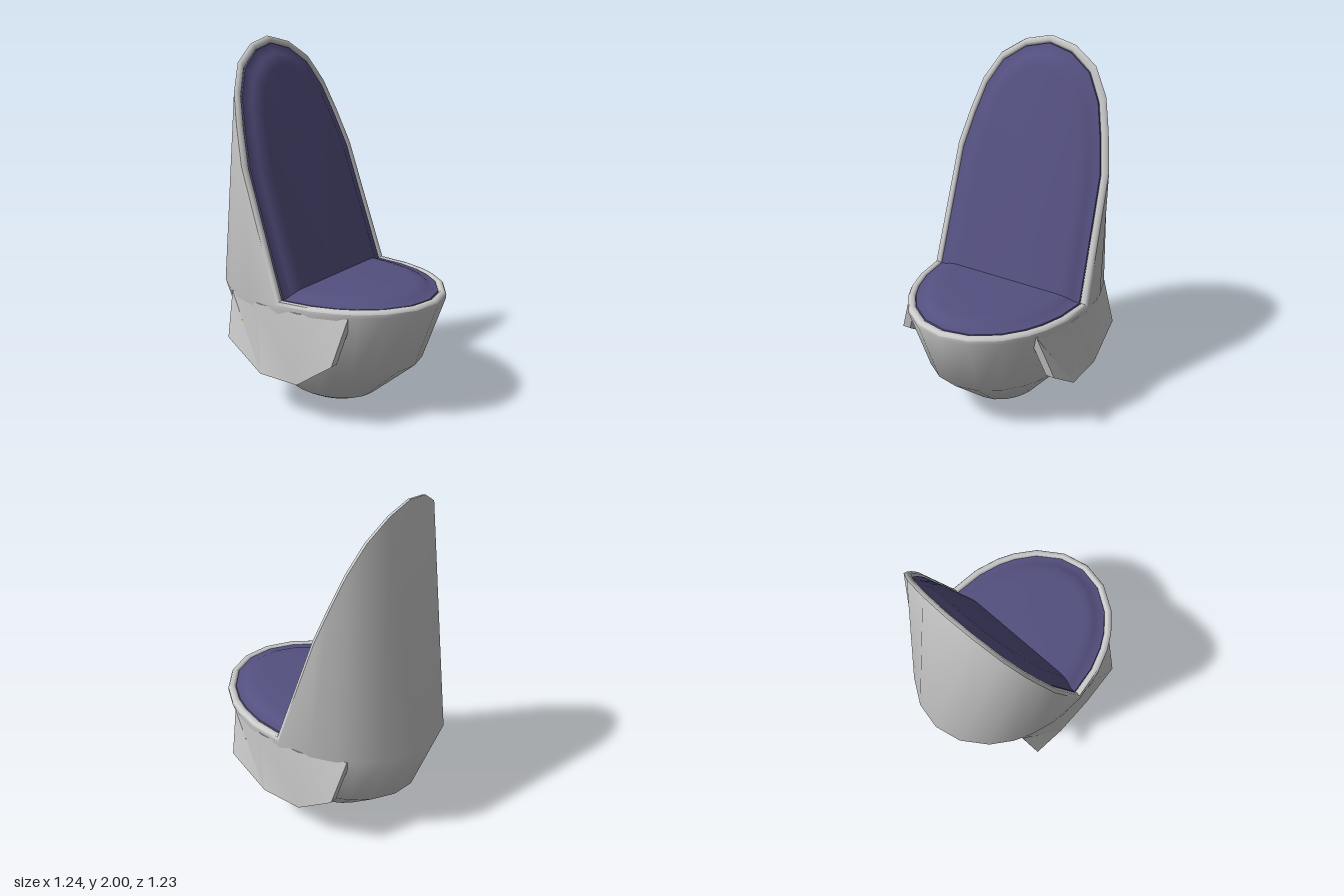
import * as THREE from 'three';
import { toCreasedNormals } from 'three/addons/utils/BufferGeometryUtils.js';

// Half widths of the elliptical plan, length of the leaning back, height of the seat edge
const LEN = 0.675, WID = 0.51, SEAT_Y = 0.655, BACK = 1.415;
const BACK_DIR = [-0.318, 0.948];

// One quarter of the plan: angle from the long axis, and the back edge height above it
const QUARTER = [[0, 2], [18, 1.965], [36, 1.875], [50, 1.73], [60, 1.56], [73, 1.36], [90, SEAT_Y]];
const angles = [];
for (const [a] of QUARTER) angles.push(a);
for (const [a] of QUARTER.slice(0, -1).reverse()) angles.push(180 - a);
for (const a of angles.slice(1, -1).reverse()) angles.push(360 - a);

const heightAt = (deg) => {
  const q = Math.min(Math.abs(deg - 180), 90);
  return QUARTER.find(([a]) => a === q)[1];
};

// Horizontal ring of the bowl
const bowlRing = (scale, y) => angles.map((deg) => {
  const t = THREE.MathUtils.degToRad(deg);
  return new THREE.Vector3(LEN * scale * Math.cos(t), y, WID * scale * Math.sin(t));
});

// Ring on the folded opening: flat over the seat, leaning up the back
const openingRing = (inset, lift) => angles.map((deg) => {
  const t = THREE.MathUtils.degToRad(deg);
  const z = WID * Math.sin(t) * (1 - inset / WID);
  if (deg === 90 || deg === 270) return new THREE.Vector3(0.727 * lift, SEAT_Y + lift, z);
  if (deg < 90 || deg > 270) {
    const p = Math.max(LEN * Math.cos(t) * (1 - inset / LEN), 0.727 * lift);
    return new THREE.Vector3(p, SEAT_Y + lift, z);
  }
  const p = (heightAt(deg) - SEAT_Y) / BACK_DIR[1] * (1 - inset / BACK);
  return new THREE.Vector3(
    BACK_DIR[0] * p + 0.948 * lift, SEAT_Y + BACK_DIR[1] * p + 0.318 * lift, z);
});

// Closes a ring on a single point
const pointRing = (x, y, z) => angles.map(() => new THREE.Vector3(x, y, z));

// Skins a list of closed rings, leaving out collapsed triangles
function loft(rings, crease) {
  const pos = [];
  const n = rings[0].length;
  const tri = (a, b, c) => {
    const area = b.clone().sub(a).cross(c.clone().sub(a)).length();
    if (area > 1e-7) for (const p of [a, b, c]) pos.push(p.x, p.y, p.z);
  };
  for (let r = 0; r < rings.length - 1; r++) {
    for (let i = 0; i < n; i++) {
      const j = (i + 1) % n;
      tri(rings[r][i], rings[r + 1][i], rings[r][j]);
      tri(rings[r][j], rings[r + 1][i], rings[r + 1][j]);
    }
  }
  const geo = new THREE.BufferGeometry();
  geo.setAttribute('position', new THREE.Float32BufferAttribute(pos, 3));
  return toCreasedNormals(geo, crease);
}

// Side fin: hangs from the bowl edge, with a clipped lower outline
function finGeometry() {
  const columns = [[-0.39, -0.35, 0.39], [-0.13, -0.125, 0.23], [0.13, 0.125, 0.23], [0.39, 0.35, 0.39]];
  const thick = 0.05;
  const rings = columns.map(([topX, lowX, lowY]) => {
    const topZ = WID * Math.sqrt(1 - (topX / LEN) ** 2);
    return [
      new THREE.Vector3(topX, 0.63, topZ),
      new THREE.Vector3(topX, 0.63, topZ - thick),
      new THREE.Vector3(lowX, lowY, 0.505 - thick),
      new THREE.Vector3(lowX, lowY, 0.505),
    ];
  });
  const flat = (ring) => {
    const c = new THREE.Vector3();
    ring.forEach((p) => c.addScaledVector(p, 0.25));
    return ring.map(() => c);
  };
  return loft([flat(rings[0]), ...rings, flat(rings[3])], 0.6);
}

export function createModel() {
  const model = new THREE.Group();
  model.name = 'podChair';
  const pod = new THREE.Group();
  pod.name = 'pod';
  pod.rotation.y = THREE.MathUtils.degToRad(-34);
  model.add(pod);

  const grey = new THREE.MeshStandardMaterial({ color: 0xcccccc, side: THREE.DoubleSide });
  const purple = new THREE.MeshStandardMaterial({ color: 0x545080, side: THREE.DoubleSide });
  const yellow = new THREE.MeshStandardMaterial({ color: 0xa8a040 });
  const add = (name, geo, mat, parent = pod) => {
    const mesh = new THREE.Mesh(geo, mat);
    mesh.name = name;
    parent.add(mesh);
    return mesh;
  };

  // Bowl and tall back in one skin
  add('shell', loft([
    pointRing(0, 0, 0), bowlRing(0.3, 0), bowlRing(0.4, 0.03), bowlRing(0.81, 0.27),
    bowlRing(1, 0.635), openingRing(0, 0),
  ], 0.9), grey);

  // Rounded edge strip
  add('rim', loft([
    openingRing(0, 0), openingRing(0.008, 0.015), openingRing(0.03, 0.018),
    openingRing(0.042, 0.008), openingRing(0.044, -0.015),
  ], 1.0), grey);

  // Padded lining of seat and back
  add('cushion', loft([
    openingRing(0.04, -0.012), openingRing(0.046, 0.014), openingRing(0.085, 0.018),
    openingRing(0.105, 0.03), openingRing(0.145, 0.042), openingRing(0.18, 0.045),
    pointRing(0.727 * 0.045, SEAT_Y + 0.045, 0),
  ], 0.8), purple);

  // Fins with a light strip behind each, mirrored by a half turn
  for (const [name, turn] of [['leftFin', 0], ['rightFin', Math.PI]]) {
    const side = new THREE.Group();
    side.name = name;
    side.rotation.y = turn;
    add('finPlate', finGeometry(), grey, side);
    const light = add('finLight', new THREE.BoxGeometry(0.6, 0.08, 0.03), yellow, side);
    light.position.set(0, 0.45, 0.435);
    pod.add(side);
  }
  return model;
}
